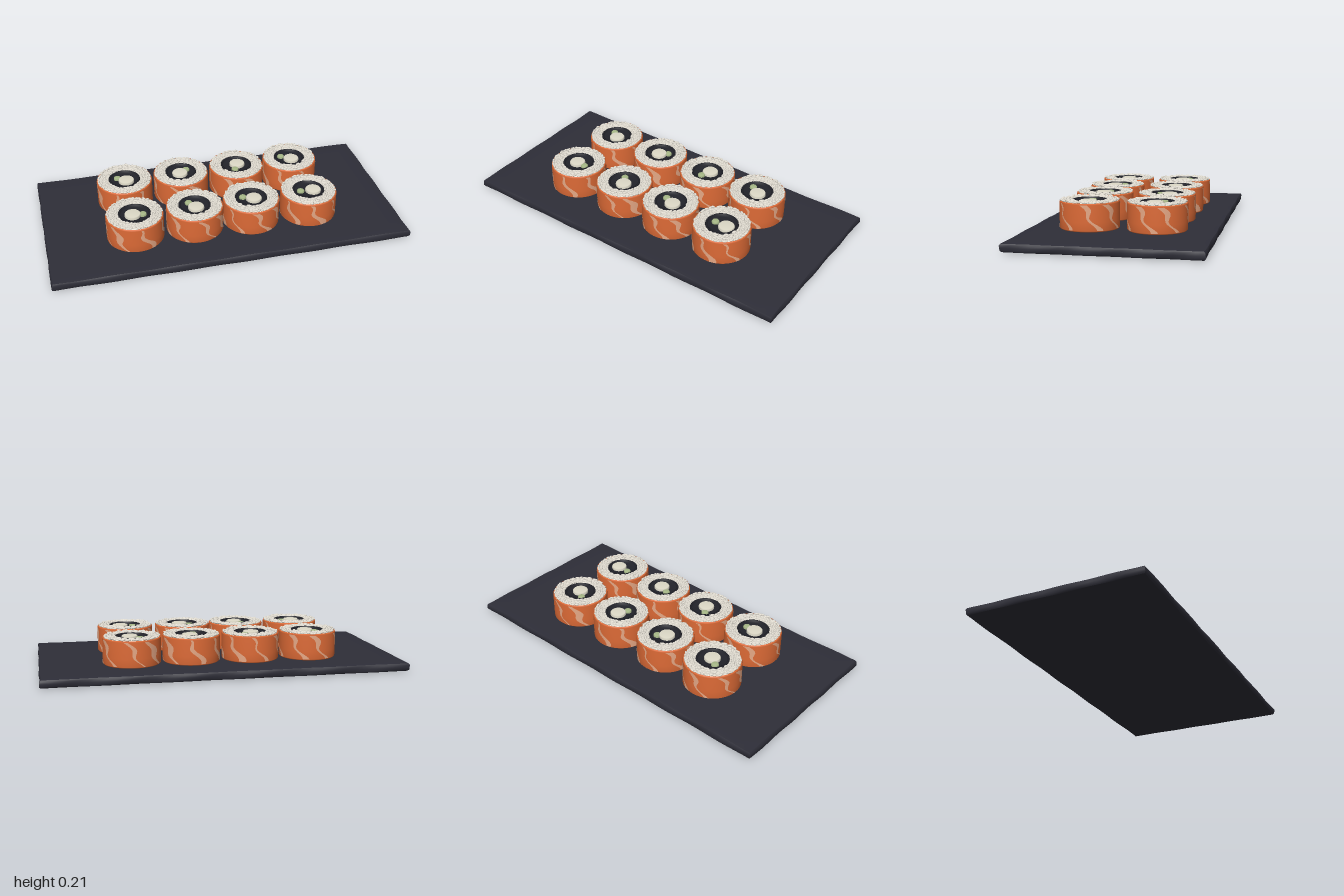
import * as THREE from 'three';
import { mergeGeometries } from 'three/addons/utils/BufferGeometryUtils.js';

const mat = (name, color) => {
  const m = new THREE.MeshStandardMaterial({ color });
  m.name = name;
  return m;
};

// small seeded generator
function seeded(seed) {
  return () => {
    seed = (seed * 16807) % 2147483647;
    return seed / 2147483647;
  };
}

const lathe = (points, segments = 48) =>
  new THREE.LatheGeometry(points.map(([r, y]) => new THREE.Vector2(r, y)), segments);

// slate slab: box with bevelled, slightly chipped rims
function slateGeometry() {
  const geo = new THREE.BoxGeometry(2, 0.05, 1, 40, 4, 20);
  const p = geo.attributes.position;
  for (let i = 0; i < p.count; i++) {
    let x = p.getX(i), y = p.getY(i), z = p.getZ(i);
    const endX = Math.abs(x) > 0.99, endZ = Math.abs(z) > 0.49;
    const chip = 0.002 + 0.002 * Math.sin(x * 17 + z * 23 + y * 60);
    const rim = Math.abs(y) > 0.024 ? 0.006 : 0;
    if (endX) x -= Math.sign(x) * (chip + rim);
    if (endZ) z -= Math.sign(z) * (chip + rim);
    if (rim && (endX || endZ)) y -= Math.sign(y) * 0.004;
    p.setXYZ(i, x, y, z);
  }
  geo.computeVertexNormals();
  return geo;
}

// one wavy fat stripe hugging the side of the fish wrap
function stripeGeometry(start, width, phase) {
  const rows = 14, r = 0.1603, pos = [], index = [];
  for (let i = 0; i <= rows; i++) {
    const t = i / rows, y = 0.007 + t * 0.133;
    const mid = start - 0.5 * t + 0.09 * Math.sin(t * 8 + phase);
    const half = width * (0.75 + 0.35 * Math.sin(t * 5 + phase * 2));
    for (const s of [-1, -0.33, 0.33, 1]) {
      const a = mid + s * half;
      pos.push(Math.sin(a) * r, y, Math.cos(a) * r);
    }
    if (i === rows) continue;
    for (let c = 0; c < 3; c++) {
      const k = i * 4 + c;
      index.push(k, k + 1, k + 5, k, k + 5, k + 4);
    }
  }
  const geo = new THREE.BufferGeometry();
  geo.setAttribute('position', new THREE.Float32BufferAttribute(pos, 3));
  geo.setIndex(index);
  geo.computeVertexNormals();
  return geo;
}

// grains scattered in rings on top of the rice
function grainsGeometry() {
  const rand = seeded(41), list = [];
  for (const [radius, count] of [[0.146, 46], [0.131, 44], [0.115, 40], [0.099, 34]]) {
    for (let i = 0; i < count; i++) {
      const a = ((i + rand() * 0.6) / count) * Math.PI * 2;
      const r = radius + (rand() - 0.5) * 0.008;
      const g = new THREE.SphereGeometry(1, 7, 5);
      g.scale(0.007, 0.0055, 0.012 + rand() * 0.003);
      g.rotateX((rand() - 0.5) * 0.3);
      g.rotateY(a + Math.PI / 2 + (rand() - 0.5) * 1.2);
      g.translate(Math.sin(a) * r, 0.149 + rand() * 0.005, Math.cos(a) * r);
      list.push(g);
    }
  }
  return mergeGeometries(list);
}

export function createModel() {
  const slate = mat('slate', 0x2e2e38);
  const salmon = mat('salmon', 0xdc6a36);
  const fat = mat('salmonFat', 0xe6a885);
  const rice = mat('rice', 0xe0dbd0);
  const nori = mat('nori', 0x22232a);
  const cheese = mat('creamCheese', 0xdedac8);
  const cucumber = mat('cucumber', 0xa8b988);

  const model = new THREE.Group();
  model.name = 'sushiPlatter';
  const add = (parent, name, geo, material, x = 0, y = 0, z = 0) => {
    const mesh = new THREE.Mesh(geo, material);
    mesh.name = name;
    mesh.position.set(x, y, z);
    parent.add(mesh);
    return mesh;
  };

  add(model, 'slatePlate', slateGeometry(), slate, 0, 0.029, 0);

  // shared roll parts, with y measured from the plate
  const wrapGeo = lathe([[0, 0], [0.153, 0], [0.159, 0.006], [0.1595, 0.05],
    [0.1595, 0.141], [0.157, 0.147], [0.151, 0.148]]);
  const stripes = mergeGeometries([0, 1, 2, 3, 4, 5, 6].map(i =>
    stripeGeometry(i * 0.9 + 0.12 * Math.sin(i * 3), 0.1 + 0.03 * Math.sin(i * 2.3), i * 0.4)));
  const riceGeo = lathe([[0.154, 0.138], [0.152, 0.148], [0.14, 0.152],
    [0.105, 0.152], [0.092, 0.149], [0.087, 0.138]]);
  const grains = grainsGeometry();
  const noriGeo = lathe([[0.09, 0.12], [0.09, 0.151], [0.086, 0.153],
    [0.079, 0.152], [0.077, 0.136], [0, 0.136]]);
  const stick = (r, h) => lathe([[r, 0], [r, h - 0.005], [r - 0.004, h], [0, h]], 20);
  const cheeseGeo = stick(0.045, 0.03), cucumberGeo = stick(0.021, 0.026);

  // centre x, z, then cheese offset and cucumber offset
  const rolls = [
    [-0.505, -0.18, 0.01, 0.01, -0.037, -0.026],
    [-0.172, -0.18, -0.006, 0.006, 0.037, -0.027],
    [0.164, -0.18, 0.01, -0.015, -0.016, 0.039],
    [0.495, -0.185, 0.01, 0.011, -0.042, -0.03],
    [-0.505, 0.178, -0.01, 0, 0.046, 0.005],
    [-0.168, 0.175, 0.006, 0.015, -0.026, -0.038],
    [0.157, 0.175, 0.015, 0.005, -0.042, -0.021],
    [0.495, 0.178, 0.028, 0, -0.044, -0.005],
  ];
  rolls.forEach(([x, z, cx, cz, gx, gz], i) => {
    const roll = new THREE.Group();
    roll.name = `roll${i + 1}`;
    roll.position.set(x, 0.054, z);
    model.add(roll);

    // outer layers are turned differently on each roll
    const shell = new THREE.Group();
    shell.name = 'rollShell';
    shell.rotation.y = i * 1.7;
    roll.add(shell);
    add(shell, 'salmonWrap', wrapGeo, salmon);
    add(shell, 'fatStripes', stripes, fat);
    add(shell, 'riceRing', riceGeo, rice);
    add(shell, 'riceGrains', grains, rice);

    add(roll, 'noriRing', noriGeo, nori);
    add(roll, 'creamCheese', cheeseGeo, cheese, cx, 0.122, cz);
    add(roll, 'cucumber', cucumberGeo, cucumber, gx, 0.123, gz);
  });

  return model;
}
